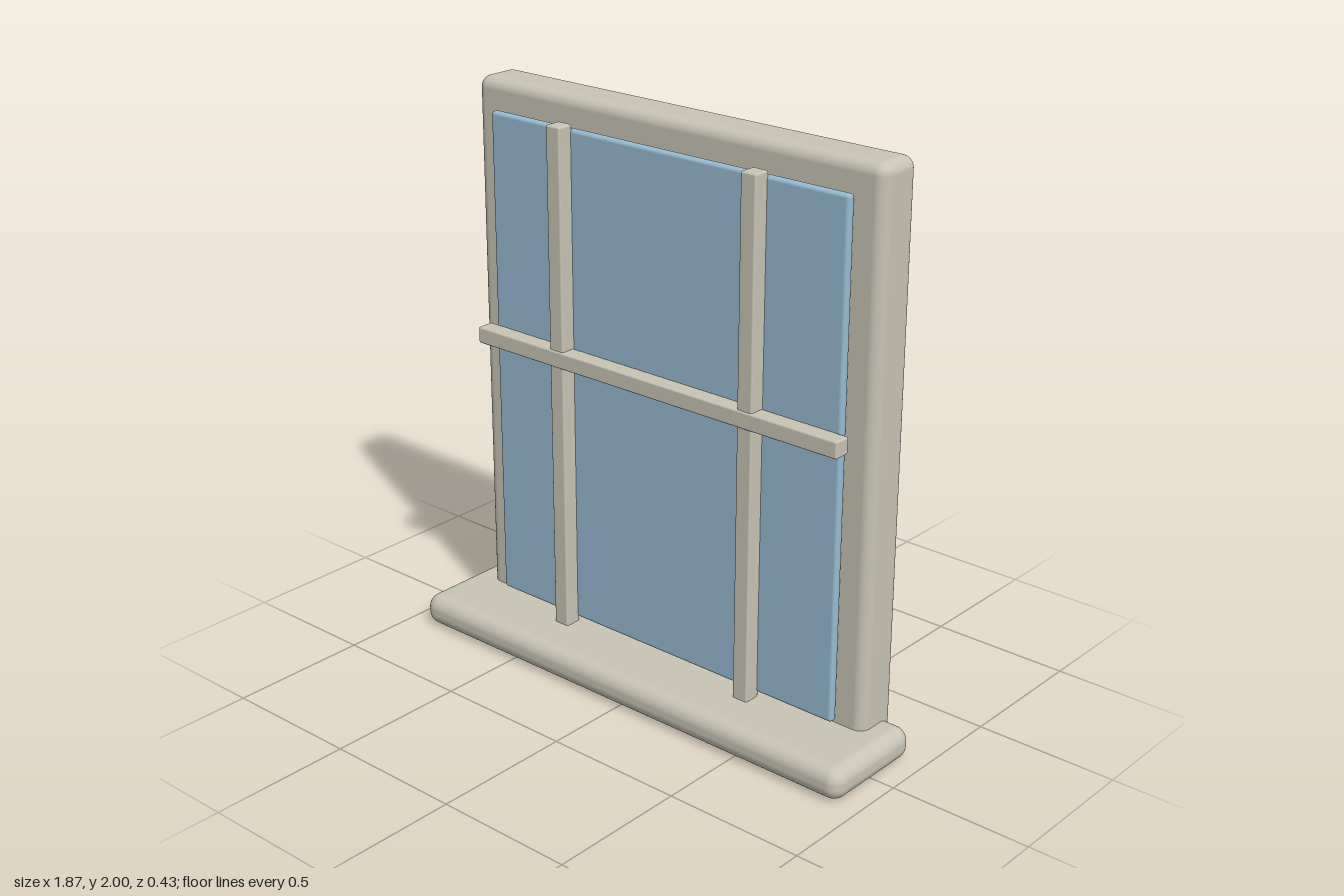
import * as THREE from 'three';
import { RoundedBoxGeometry } from 'three/addons/geometries/RoundedBoxGeometry.js';

export function createModel() {
  const model = new THREE.Group();
  model.name = 'window';

  const stone = new THREE.MeshStandardMaterial({ color: 0xc8c4b5 });
  stone.name = 'warm grey stone';
  const blue = new THREE.MeshStandardMaterial({ color: 0x98bcd3 });
  blue.name = 'pale blue glass';

  // Rounded box between two corners
  function block(name, material, [x0, y0, z0], [x1, y1, z1], radius, segments = 4) {
    const geometry = new RoundedBoxGeometry(x1 - x0, y1 - y0, z1 - z0, segments, radius);
    const mesh = new THREE.Mesh(geometry, material);
    mesh.name = name;
    mesh.position.set((x0 + x1) / 2, (y0 + y1) / 2, (z0 + z1) / 2);
    model.add(mesh);
  }

  // Solid backing frame, standing in the sill
  block('frame', stone, [-0.84, 0.025, -0.213], [0.84, 2, -0.045], 0.04);
  // Projecting sill with a nearly half-round edge
  block('sill', stone, [-0.935, 0, -0.192], [0.935, 0.115, 0.213], 0.05, 6);
  // Glass pane in front of the frame
  block('glass', blue, [-0.74, 0.13, -0.039], [0.74, 1.9, -0.008], 0.012);

  // Glazing bars
  for (const [side, x] of [['left', 0.405], ['right', -0.405]]) {
    block(side + 'VerticalBar', stone, [x - 0.03, 0.1, -0.016], [x + 0.03, 1.917, 0.047], 0.007, 2);
  }
  block('crossBar', stone, [-0.77, 1.086, -0.009], [0.77, 1.145, 0.053], 0.007, 2);

  return model;
}
